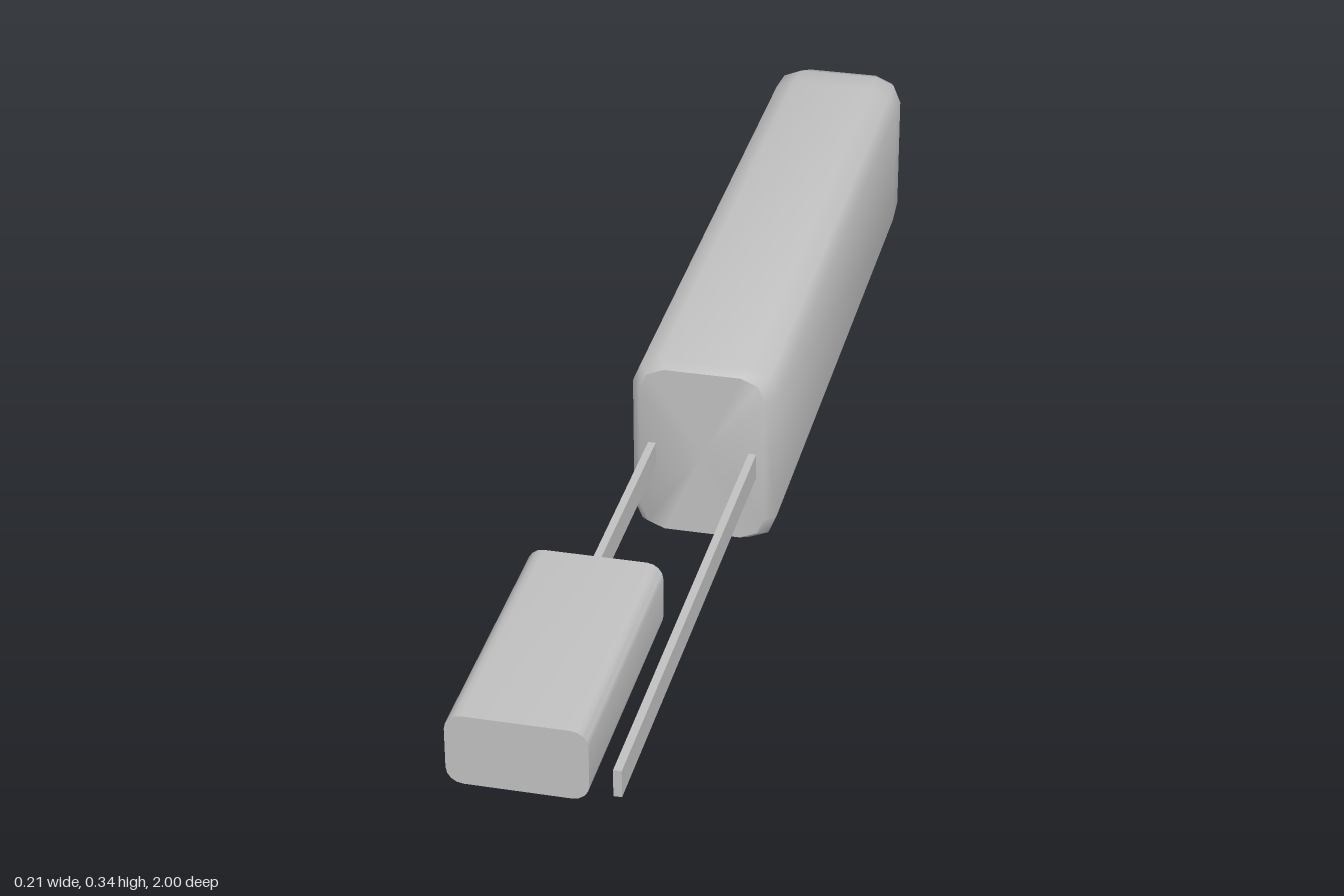
import * as THREE from 'three';
import { toCreasedNormals } from 'three/addons/utils/BufferGeometryUtils.js';

// Rounded-rectangle outline, counter-clockwise seen from the front
function outline([z, hw, y0, y1, r], steps) {
  const pts = [];
  const corners = [[hw - r, y1 - r], [r - hw, y1 - r], [r - hw, y0 + r], [hw - r, y0 + r]];
  corners.forEach(([cx, cy], q) => {
    for (let s = 0; s <= steps; s++) {
      const a = (q + s / steps) * Math.PI / 2;
      pts.push([cx + r * Math.cos(a), cy + r * Math.sin(a), z]);
    }
  });
  return pts;
}

// Closed loft through sections [z, halfWidth, bottom, top, radius], front to back
function loft(sections, steps, crease) {
  const n = 4 * (steps + 1), pos = [], idx = [];
  sections.forEach(s => outline(s, steps).forEach(p => pos.push(...p)));
  for (let k = 0; k < sections.length - 1; k++) {
    for (let i = 0; i < n; i++) {
      const a = k * n + i, b = k * n + (i + 1) % n;
      idx.push(a, a + n, b, b, a + n, b + n);
    }
  }
  // End caps
  const first = sections[0], last = sections[sections.length - 1];
  const c0 = pos.length / 3, c1 = c0 + 1, base = (sections.length - 1) * n;
  pos.push(0, (first[2] + first[3]) / 2, first[0], 0, (last[2] + last[3]) / 2, last[0]);
  for (let i = 0; i < n; i++) {
    const j = (i + 1) % n;
    idx.push(c0, i, j, c1, base + j, base + i);
  }
  const g = new THREE.BufferGeometry();
  g.setAttribute('position', new THREE.Float32BufferAttribute(pos, 3));
  g.setIndex(idx);
  return toCreasedNormals(g, crease);
}

export function createModel() {
  const model = new THREE.Group();
  const grey = new THREE.MeshStandardMaterial({ color: 0xc0c0c0 });
  grey.name = 'grey';
  const add = (name, geometry) => {
    const mesh = new THREE.Mesh(geometry, grey);
    mesh.name = name;
    model.add(mesh);
    return mesh;
  };

  // Long rounded body, slightly raised toward the rear
  add('body', loft([
    [0.04, 0.09, 0.01, 0.27, 0.035],
    [0.02, 0.104, 0.0, 0.277, 0.04],
    [-0.9, 0.104, 0.015, 0.286, 0.04],
    [-0.95, 0.102, 0.022, 0.283, 0.04],
    [-0.985, 0.092, 0.037, 0.27, 0.038],
    [-1.0, 0.072, 0.065, 0.24, 0.03],
  ], 2, 1.0));

  // Separate block ahead of and above the rails
  add('frontBlock', loft([
    [1.0, 0.087, 0.24, 0.336, 0.021],
    [0.63, 0.087, 0.24, 0.336, 0.021],
  ], 4, 0.7));

  // Pair of thin rails running into the body
  for (const [name, side] of [['leftRail', 1], ['rightRail', -1]]) {
    add(name, new THREE.BoxGeometry(0.011, 0.039, 0.795)).position.set(side * 0.0725, 0.131, 0.4175);
  }
  return model;
}
